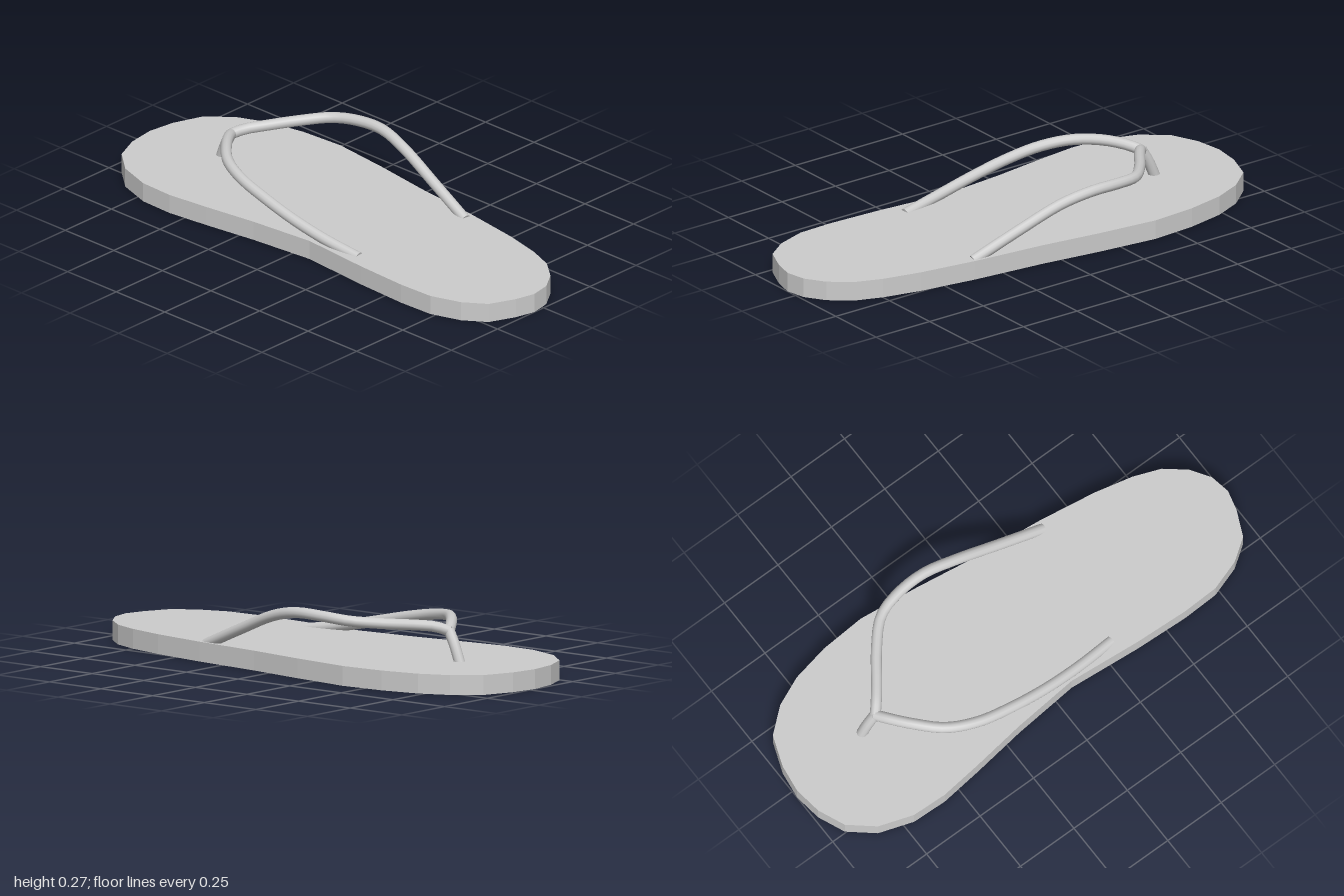
import * as THREE from 'three';

const material = new THREE.MeshStandardMaterial({ color: 0xcccccc });
const RADIUS = 0.021;

// Round strap through the given points, with a flat cap at each end
function strap(name, points, segments) {
  const group = new THREE.Group();
  group.name = name;
  const curve = new THREE.CatmullRomCurve3(points.map((p) => new THREE.Vector3(...p)));
  const tube = new THREE.Mesh(new THREE.TubeGeometry(curve, segments, RADIUS, 12), material);
  tube.name = name + 'Tube';
  group.add(tube);
  for (const t of [0, 1]) {
    const cap = new THREE.Mesh(new THREE.CircleGeometry(RADIUS, 12), material);
    cap.name = name + 'Cap';
    const end = curve.getPointAt(t);
    cap.position.copy(end);
    cap.lookAt(end.clone().addScaledVector(curve.getTangentAt(t), t ? 1 : -1));
    group.add(cap);
  }
  return group;
}

export function createModel() {
  const model = new THREE.Group();
  model.name = 'flipFlop';

  // Sole outline as [x, z], from the toe down the left edge to the heel and back
  const outline = [
    [-0.03, -1], [0.08, -0.985], [0.2, -0.94], [0.28, -0.845], [0.33, -0.73],
    [0.36, -0.58], [0.372, -0.4], [0.345, -0.16], [0.31, 0.08], [0.28, 0.37],
    [0.245, 0.6], [0.21, 0.75], [0.17, 0.855], [0.105, 0.935], [0.03, 0.985],
    [-0.05, 1], [-0.13, 0.98], [-0.23, 0.935], [-0.29, 0.85], [-0.33, 0.73],
    [-0.335, 0.585], [-0.325, 0.37], [-0.3, 0.08], [-0.325, -0.185], [-0.355, -0.4],
    [-0.375, -0.57], [-0.37, -0.71], [-0.325, -0.845], [-0.245, -0.94], [-0.14, -0.985],
  ];
  const shape = new THREE.Shape(outline.map(([x, z]) => new THREE.Vector2(x, -z)));
  const soleGeometry = new THREE.ExtrudeGeometry(shape, { depth: 0.075, bevelEnabled: false });
  soleGeometry.rotateX(-Math.PI / 2);
  const sole = new THREE.Mesh(soleGeometry, material);
  sole.name = 'sole';
  model.add(sole);

  // Side straps run from the sole edge forward to the toe post
  model.add(strap('rightStrap', [
    [-0.26, 0.064, 0.295], [-0.275, 0.092, 0.13], [-0.28, 0.125, -0.03], [-0.272, 0.158, -0.18],
    [-0.25, 0.184, -0.32], [-0.2, 0.2, -0.435], [-0.12, 0.205, -0.52], [-0.04, 0.195, -0.583],
    [0.003, 0.183, -0.61],
  ], 32));
  model.add(strap('leftStrap', [
    [0.25, 0.064, 0.36], [0.277, 0.145, 0.17], [0.305, 0.217, -0.01], [0.325, 0.244, -0.14],
    [0.321, 0.242, -0.26], [0.29, 0.231, -0.365], [0.2, 0.219, -0.455], [0.1, 0.209, -0.53],
    [0.04, 0.2, -0.577], [0.003, 0.183, -0.61],
  ], 32));

  // Post between the toes
  model.add(strap('toePost', [[0.01, 0.05, -0.675], [0.007, 0.13, -0.642], [0.003, 0.187, -0.61]], 6));

  return model;
}
